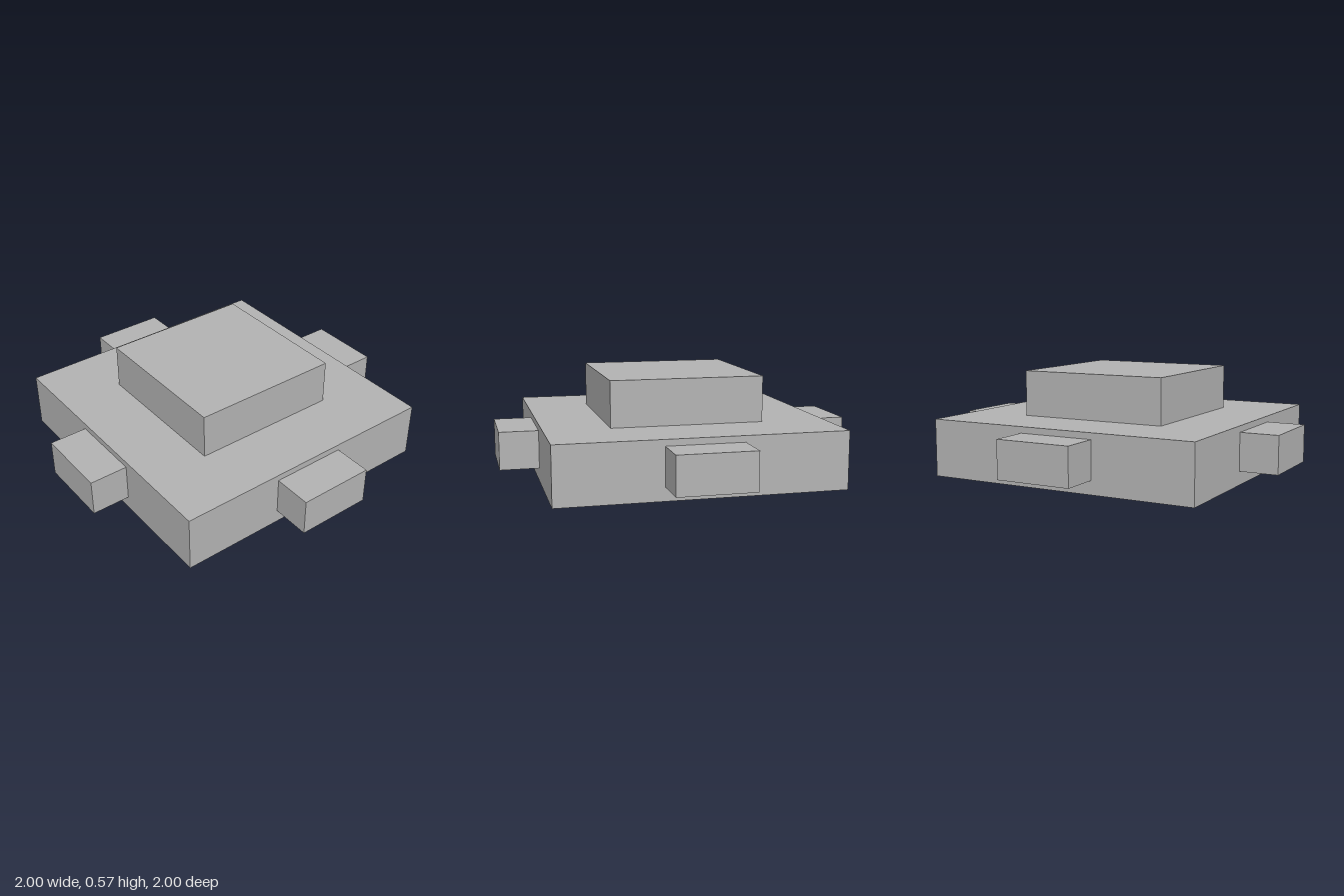
import * as THREE from 'three';

export function createModel() {
  const model = new THREE.Group();
  const grey = new THREE.MeshStandardMaterial({ color: 0xb2b2b2 });
  grey.name = 'grey';

  // Box placed by its bottom height
  function box(name, w, h, d, x, bottom, z) {
    const mesh = new THREE.Mesh(new THREE.BoxGeometry(w, h, d), grey);
    mesh.name = name;
    mesh.position.set(x, bottom + h / 2, z);
    model.add(mesh);
  }

  // Wide slab with a smaller raised block in the middle
  box('base', 1.57, 0.32, 1.57, 0, 0, 0);
  box('topBlock', 0.85, 0.255, 0.85, 0, 0.32, 0);

  // One tab in the middle of each side
  const length = 0.215, width = 0.425, height = 0.21, offset = 1 - length / 2;
  for (const s of [1, -1]) {
    box(s > 0 ? 'leftTab' : 'rightTab', length, height, width, s * offset, 0.075, 0);
    box(s > 0 ? 'frontTab' : 'backTab', width, height, length, 0, 0.075, s * offset);
  }
  return model;
}
